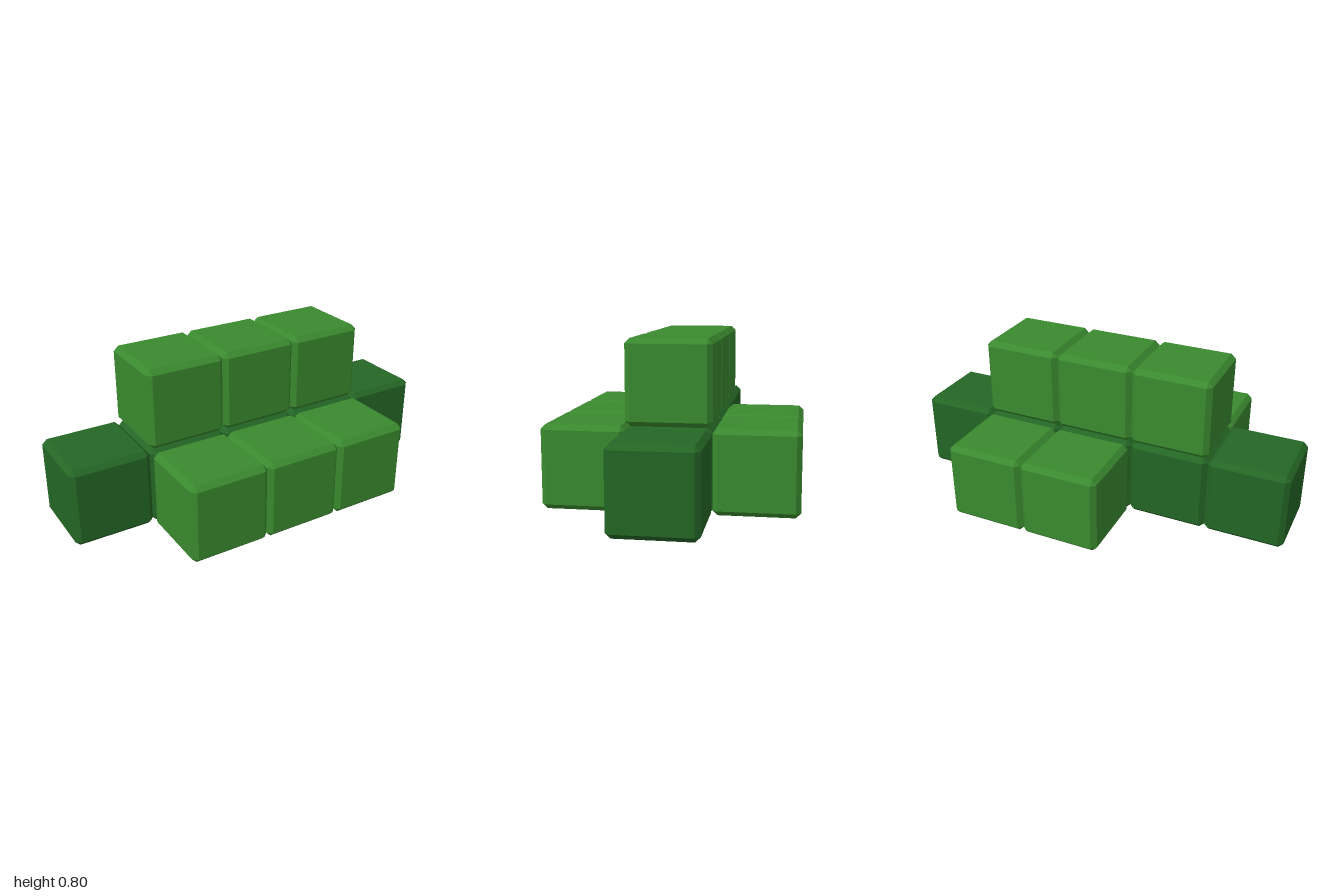
import * as THREE from 'three';
import { ConvexGeometry } from 'three/addons/geometries/ConvexGeometry.js';

const SIZE = 0.4;
const BEVEL = 0.024;

// Cube with flat chamfered edges and corners
function chamferedCube() {
  const h = SIZE / 2, i = h - BEVEL;
  const points = [];
  for (const x of [-1, 1]) for (const y of [-1, 1]) for (const z of [-1, 1]) {
    points.push(
      new THREE.Vector3(x * h, y * i, z * i),
      new THREE.Vector3(x * i, y * h, z * i),
      new THREE.Vector3(x * i, y * i, z * h)
    );
  }
  return new ConvexGeometry(points);
}

export function createModel() {
  const model = new THREE.Group();
  model.name = 'leafBlocks';

  const lightGreen = new THREE.MeshStandardMaterial({ color: 0x3a8a2f });
  lightGreen.name = 'light green';
  const darkGreen = new THREE.MeshStandardMaterial({ color: 0x246625 });
  darkGreen.name = 'dark green';

  const cube = chamferedCube();

  // A row of cubes along x, in whole-cube grid steps
  function addRow(name, columns, layer, depth, material) {
    const row = new THREE.Group();
    row.name = name;
    for (const column of columns) {
      const block = new THREE.Mesh(cube, material);
      block.name = name + 'Block';
      block.position.set(column * SIZE, (layer + 0.5) * SIZE, depth * SIZE);
      row.add(block);
    }
    model.add(row);
  }

  addRow('middleRow', [-2, -1, 0, 1, 2], 0, 0, darkGreen);
  addRow('frontRow', [-1, 0, 1], 0, 1, lightGreen);
  addRow('backRow', [0, 1], 0, -1, lightGreen);
  addRow('topRow', [-1, 0, 1], 1, 0, lightGreen);

  return model;
}
